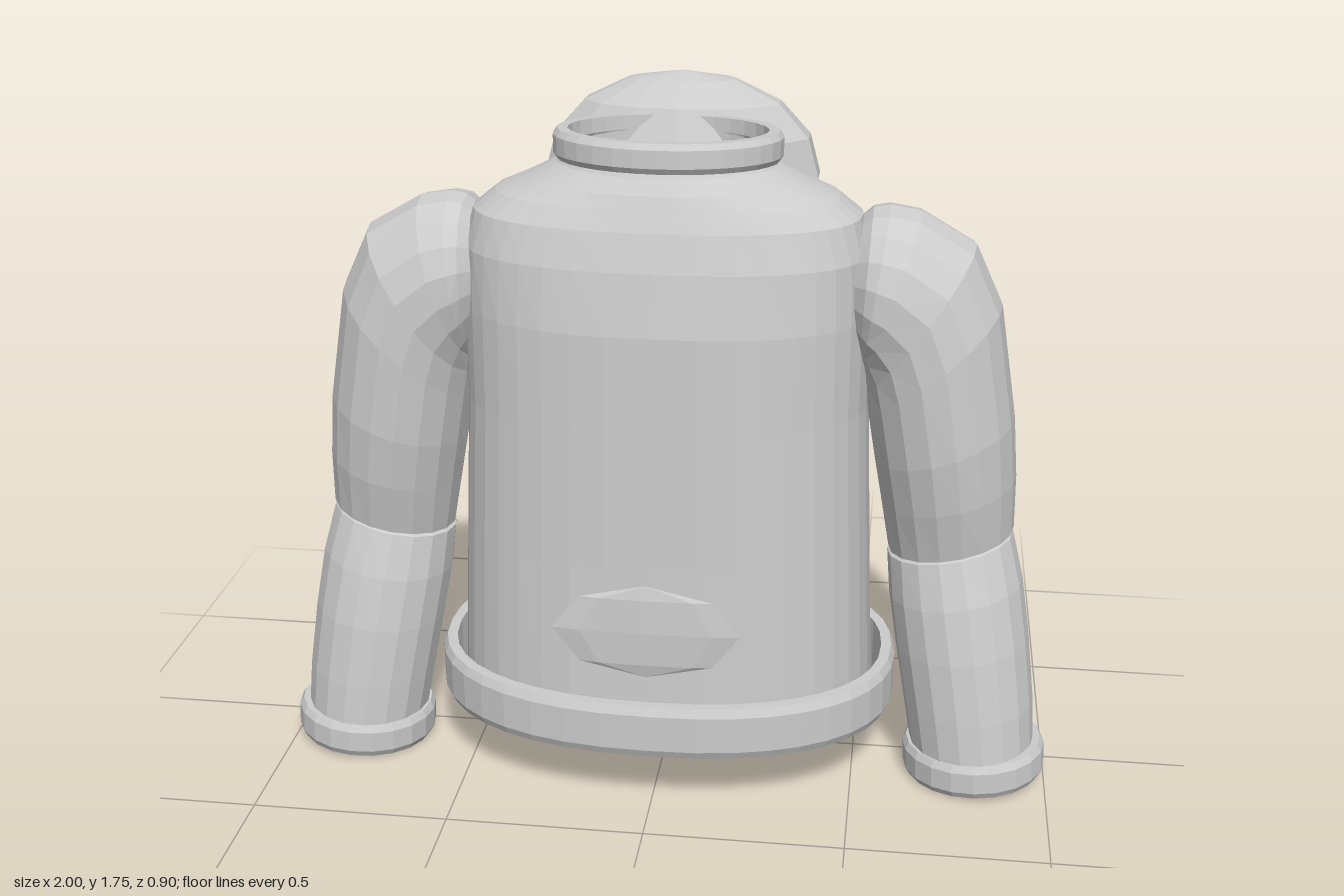
import * as THREE from 'three';

const fabric = new THREE.MeshStandardMaterial({ color: 0xcccccc, flatShading: true, side: THREE.DoubleSide });
fabric.name = 'light grey fabric';

// Skin a list of rings (top to bottom), optionally closing the last ring with a disc.
function loft(rings, cap = false) {
  const n = rings[0].length, pos = [], index = [];
  rings.forEach(r => r.forEach(p => pos.push(...p)));
  for (let i = 0; i < rings.length - 1; i++) {
    for (let j = 0; j < n; j++) {
      const k = (j + 1) % n, a = i * n + j, b = i * n + k;
      index.push(a, b, a + n, b, b + n, a + n);
    }
  }
  if (cap) {
    const base = (rings.length - 1) * n;
    for (let j = 1; j < n - 1; j++) index.push(base, base + j, base + j + 1);
  }
  const geo = new THREE.BufferGeometry();
  geo.setAttribute('position', new THREE.Float32BufferAttribute(pos, 3));
  geo.setIndex(index);
  geo.computeVertexNormals();
  return geo;
}

// Horizontal oval; a power above 2 gives fuller corners
function oval(rx, rz, y, zc, power, n) {
  const bulge = v => Math.sign(v) * Math.abs(v) ** (2 / power);
  return Array.from({ length: n }, (_, j) => {
    const a = (j / n) * Math.PI * 2;
    return [bulge(Math.cos(a)) * rx, y, zc + bulge(Math.sin(a)) * rz];
  });
}

// Sleeve ring spanning from its inner to its outer point
function sleeveRing(side, [ox, oy, ix, iy, zc, rz], n = 18) {
  return Array.from({ length: n }, (_, j) => {
    const a = (j / n) * Math.PI * 2, c = Math.cos(a);
    return [
      side * ((ox + ix) / 2 + c * (ox - ix) / 2),
      (oy + iy) / 2 + c * (oy - iy) / 2,
      zc + side * Math.sin(a) * rz,
    ];
  });
}

// Hollow oval band with softened edges, centred on its own height
function band(rx, rz, height, thick, power, n) {
  const h = height / 2, c = Math.min(0.022, height * 0.2), e = 0.01;
  const profile = [[thick, -h], [thick, h], [e, h], [0, h - c], [0, c - h], [e, -h], [thick, -h]];
  return loft(profile.map(([inset, y]) => oval(rx - inset, rz - inset, y, 0, power, n)));
}

export function createModel() {
  const model = new THREE.Group();
  model.name = 'jacket';
  const add = (name, geo, parent = model) => {
    const mesh = new THREE.Mesh(geo, fabric);
    mesh.name = name;
    parent.add(mesh);
    return mesh;
  };

  // Torso: half width, height, front z, back z, fullness
  const torso = [
    [0.24, 1.63, 0.195, -0.165, 2], [0.27, 1.595, 0.215, -0.17, 2], [0.34, 1.56, 0.24, -0.18, 2.1],
    [0.42, 1.525, 0.255, -0.195, 2.2], [0.475, 1.48, 0.275, -0.215, 2.35], [0.5, 1.39, 0.302, -0.265, 2.45],
    [0.505, 1.24, 0.325, -0.325, 2.5], [0.505, 1.0, 0.333, -0.338, 2.5], [0.52, 0.65, 0.345, -0.35, 2.5],
    [0.535, 0.3, 0.36, -0.362, 2.45], [0.537, 0.22, 0.362, -0.364, 2.45],
  ];
  add('torso', loft(torso.map(([rx, y, f, b, p]) => oval(rx, (f - b) / 2, y, (f + b) / 2, p, 40))));

  // Hem and collar
  add('hem', band(0.6, 0.417, 0.14, 0.036, 2.3, 40)).position.set(0, 0.236, -0.003);
  const collar = add('collar', band(0.28, 0.21, 0.072, 0.036, 2, 32));
  collar.position.set(0, 1.634, 0.01);
  collar.rotation.x = -0.035;

  // Hood folded down behind the neck
  const hoodGeo = new THREE.SphereGeometry(1, 14, 8);
  hoodGeo.rotateY(Math.PI / 14);
  hoodGeo.scale(0.36, 0.26, 0.17);
  add('hood', hoodGeo).position.set(0, 1.495, -0.28);

  // Front pocket
  const pocketGeo = new THREE.SphereGeometry(1, 8, 4);
  pocketGeo.scale(0.23, 0.123, 0.012);
  add('frontPocket', pocketGeo).position.set(0, 0.532, 0.437);

  // Sleeve rings: outer x, outer y, inner x, inner y, centre z, half depth
  const upper = [
    [0.41, 1.36, 0.41, 1.25, 0.01, 0.05], [0.462, 1.46, 0.455, 1.16, 0.01, 0.145],
    [0.5, 1.493, 0.48, 1.12, 0.01, 0.18], [0.54, 1.5, 0.485, 1.1, 0.01, 0.193],
    [0.615, 1.488, 0.49, 1.08, 0.01, 0.198], [0.75, 1.41, 0.495, 1.04, 0.01, 0.202],
    [0.82, 1.26, 0.503, 0.98, 0.01, 0.204], [0.868, 0.97, 0.525, 0.85, 0.007, 0.202],
    [0.882, 0.81, 0.547, 0.73, 0.002, 0.188], [0.885, 0.67, 0.57, 0.6, 0, 0.16],
    [0.85, 0.665, 0.6, 0.605, 0, 0.13],
  ];
  const lower = [
    [0.85, 0.675, 0.6, 0.61, 0.003, 0.125], [0.884, 0.66, 0.568, 0.59, 0.004, 0.15],
    [0.915, 0.54, 0.578, 0.48, 0.022, 0.169], [0.939, 0.39, 0.6, 0.35, 0.043, 0.175],
    [0.96, 0.22, 0.628, 0.2, 0.063, 0.173], [0.968, 0.1, 0.648, 0.09, 0.077, 0.168],
    [0.965, 0.045, 0.655, 0.032, 0.08, 0.16],
  ];
  for (const side of [1, -1]) {
    const arm = new THREE.Group();
    arm.name = side > 0 ? 'leftSleeve' : 'rightSleeve';
    model.add(arm);
    add('upperSleeve', loft(upper.map(r => sleeveRing(side, r)), true), arm);
    add('lowerSleeve', loft(lower.map(r => sleeveRing(side, r)), true), arm);
    const cuff = add('cuff', band(0.183, 0.177, 0.092, 0.028, 2, 20), arm);
    cuff.position.set(side * 0.815, 0.058, 0.08);
    cuff.rotation.z = side * 0.055;
  }
  return model;
}
